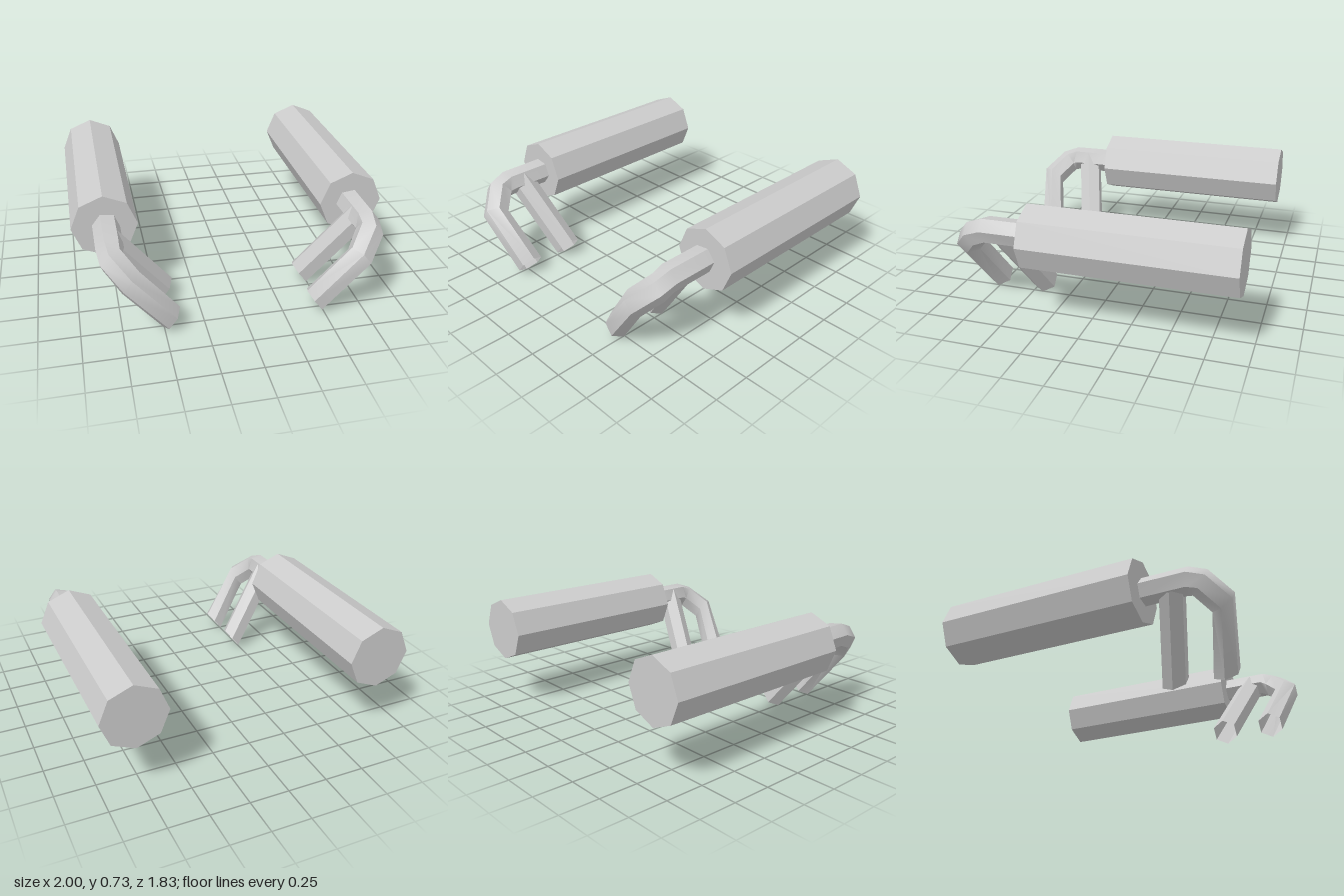
import * as THREE from 'three';
import { toCreasedNormals } from 'three/addons/utils/BufferGeometryUtils.js';

const R = 0.0855; // tube radius
const U = new THREE.Vector3(0.61, -0.79, 0); // sideways axis shared by all tube sections

// Open six-sided tube through rings of { centre, outer direction }
function hexTube(rings, side) {
  const pos = [], index = [];
  for (const [centre, outer] of rings) {
    const c = new THREE.Vector3(...centre);
    const w = new THREE.Vector3(...outer).normalize();
    for (let i = 0; i < 6; i++) {
      const a = (i / 6) * Math.PI * 2;
      const p = c.clone().addScaledVector(U, R * Math.cos(a)).addScaledVector(w, R * Math.sin(a));
      pos.push(p.x * side, p.y, p.z);
    }
  }
  for (let r = 0; r < rings.length - 1; r++) {
    for (let i = 0; i < 6; i++) {
      const a = r * 6 + i, b = r * 6 + ((i + 1) % 6), c = a + 6, d = b + 6;
      // Winding flips for the mirrored side
      if (side > 0) index.push(a, b, d, a, d, c);
      else index.push(a, d, b, a, c, d);
    }
  }
  const geo = new THREE.BufferGeometry();
  geo.setAttribute('position', new THREE.Float32BufferAttribute(pos, 3));
  geo.setIndex(index);
  return toCreasedNormals(geo, 0.9); // smooth along bends, sharp between sides
}

export function createModel() {
  const model = new THREE.Group();
  const solid = new THREE.MeshStandardMaterial({ color: 0xcccccc, flatShading: true });
  const tube = new THREE.MeshStandardMaterial({ color: 0xcccccc, side: THREE.DoubleSide });

  // Horizontal pipe that bends down and inward
  const bentRings = [
    [[0.785, 0.533, 0.38], [0.79, 0.61, 0]],
    [[0.785, 0.533, 0.66], [0.77, 0.6, 0.2]],
    [[0.785, 0.505, 0.735], [0.56, 0.43, 0.7]],
    [[0.69, 0.4, 0.837], [0.3, 0.23, 0.92]],
    [[0.4525, 0.073, 0.76], [0, 0, 1]],
  ];
  // Straight pipe branching off underneath
  const branchRings = [
    [[0.78, 0.526, 0.56], [0, 0, 1]],
    [[0.4525, 0.073, 0.438], [0, 0, 1]],
  ];

  for (const side of [1, -1]) {
    const unit = new THREE.Group();
    unit.name = side > 0 ? 'leftUnit' : 'rightUnit';

    // Eight-sided canister lying along z
    const canister = new THREE.Mesh(new THREE.CylinderGeometry(0.205, 0.205, 1.3, 8), solid);
    canister.name = 'canister';
    canister.rotation.x = Math.PI / 2;
    canister.position.set(0.795 * side, 0.53, -0.27);
    unit.add(canister);

    const bent = new THREE.Mesh(hexTube(bentRings, side), tube);
    bent.name = 'bentPipe';
    const branch = new THREE.Mesh(hexTube(branchRings, side), tube);
    branch.name = 'branchPipe';
    unit.add(bent, branch);
    model.add(unit);
  }
  return model;
}
